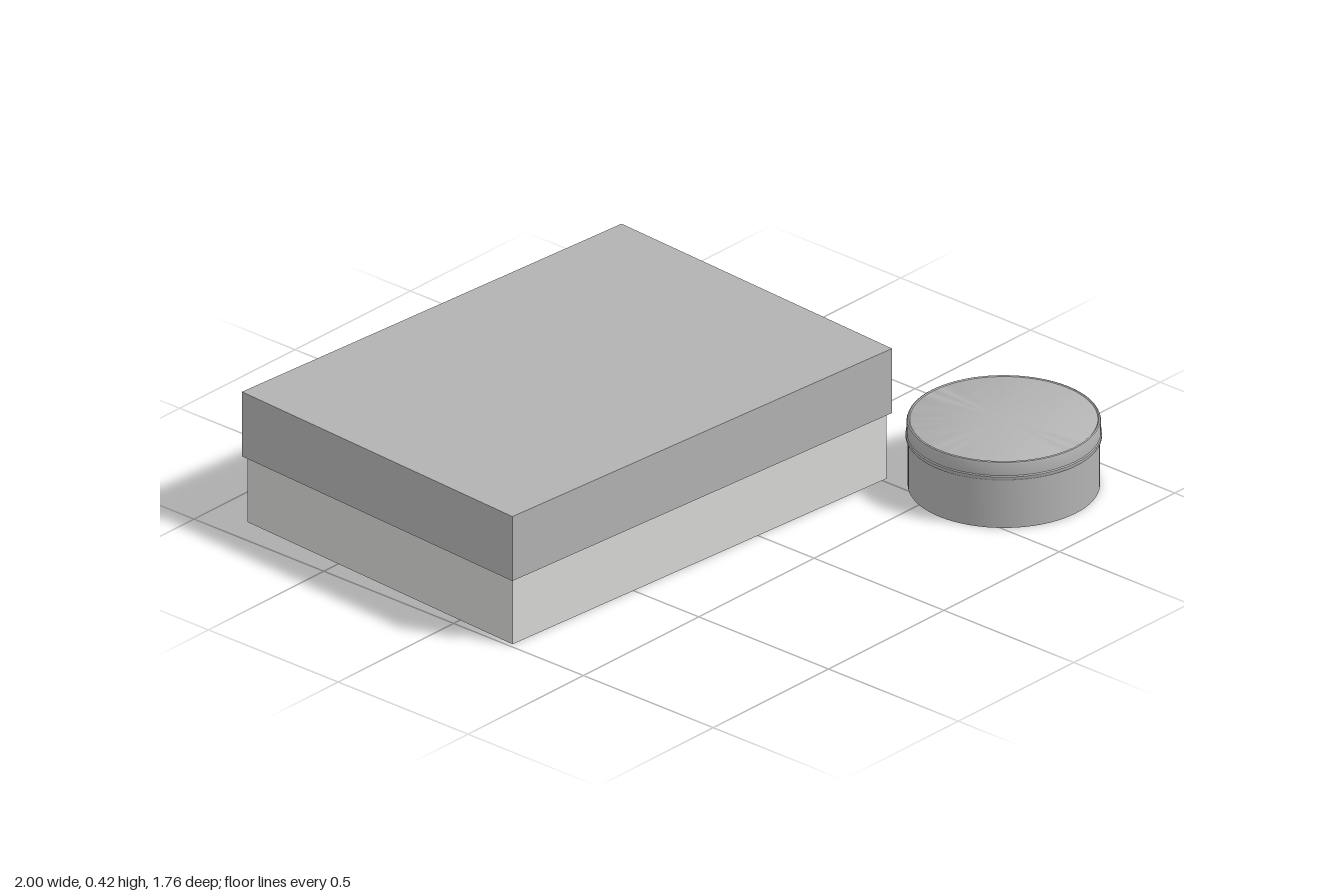
import * as THREE from 'three';
import { toCreasedNormals } from 'three/addons/utils/BufferGeometryUtils.js';

export function createModel() {
  const model = new THREE.Group();
  const grey = new THREE.MeshStandardMaterial({ name: 'mid grey', color: 0xb2b2b2 });
  const pale = new THREE.MeshStandardMaterial({ name: 'pale grey', color: 0xd6d6d4 });

  const add = (parent, name, geometry, material, y = 0) => {
    const mesh = new THREE.Mesh(geometry, material);
    mesh.name = name;
    mesh.position.y = y;
    parent.add(mesh);
  };

  // Rectangular box with a slightly overhanging lid
  const box = new THREE.Group();
  box.name = 'rectangularBox';
  box.position.set(-0.197, 0, -0.277);
  box.rotation.y = -0.069;
  add(box, 'boxBase', new THREE.BoxGeometry(1.508, 0.22, 1.091), pale, 0.11);
  add(box, 'boxLid', new THREE.BoxGeometry(1.53, 0.208, 1.113), grey, 0.316);
  model.add(box);

  // Turned parts keep crisp edges at the profile corners
  const turned = (profile) => toCreasedNormals(
    new THREE.LatheGeometry(profile.map(([r, y]) => new THREE.Vector2(r, y)), 72), 0.6);

  // Round tin with a rolled lower rim and a rounded lid edge
  const tin = new THREE.Group();
  tin.name = 'roundTin';
  tin.position.set(0.714, 0, 0.596);
  add(tin, 'tinBody', turned([[0, 0], [0.277, 0], [0.277, 0.165]]), grey);
  add(tin, 'tinLid', turned([
    [0.27, 0.155], [0.281, 0.155], [0.283, 0.158], [0.283, 0.167], [0.28, 0.17],
    [0.28, 0.207], [0.278, 0.212], [0.274, 0.214], [0.271, 0.211], [0, 0.211],
  ]), grey);
  model.add(tin);

  return model;
}
